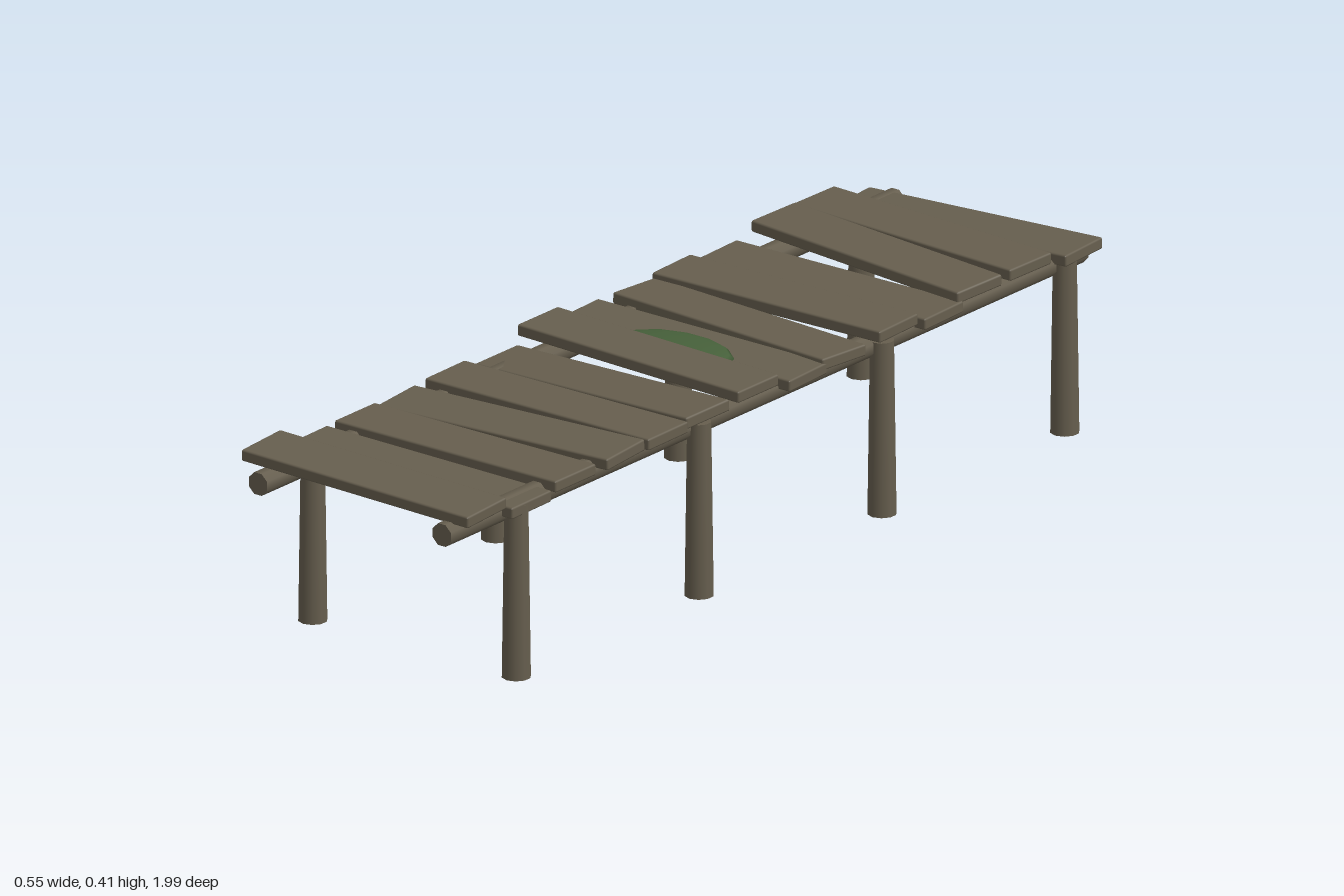
import * as THREE from 'three';
import { RoundedBoxGeometry } from 'three/addons/geometries/RoundedBoxGeometry.js';

export function createModel() {
  const model = new THREE.Group();
  model.name = 'woodenWalkway';

  const wood = new THREE.MeshStandardMaterial({ color: 0x665e4e });
  wood.name = 'weatheredWood';
  const moss = new THREE.MeshStandardMaterial({ color: 0x46603a });
  moss.name = 'moss';

  const add = (name, geometry, material, x, y, z) => {
    const mesh = new THREE.Mesh(geometry, material);
    mesh.name = name;
    mesh.position.set(x, y, z);
    model.add(mesh);
    return mesh;
  };

  // Tapered posts in four pairs
  const postGeometry = new THREE.CylinderGeometry(0.024, 0.029, 0.355, 10);
  for (const z of [0.79, 0.225, -0.34, -0.905]) {
    for (const side of [-1, 1]) add('post', postGeometry, wood, side * 0.248, 0.1775, z);
  }

  // Two long round beams under the deck
  const beamGeometry = new THREE.CylinderGeometry(0.024, 0.024, 1.97, 8);
  beamGeometry.rotateY(Math.PI / 8).rotateX(Math.PI / 2);
  for (const side of [-1, 1]) add('beam', beamGeometry, wood, side * 0.224, 0.342, 0.005);

  // Uneven deck planks, back to front: [height, yaw, roll, pitch]
  const planks = [
    [0.356, 0.07, 0.02, 0],
    [0.384, -0.02, -0.015, 0],
    [0.386, -0.08, -0.02, 0.03],
    [0.362, 0.035, -0.01, 0],
    [0.376, 0.04, -0.005, 0],
    [0.366, -0.06, -0.005, -0.03],
    [0.364, 0.05, -0.025, 0],
    [0.386, 0, -0.025, 0],
    [0.362, -0.05, 0.04, 0.03],
    [0.366, 0.015, -0.005, 0],
    [0.362, 0.055, 0.01, 0.03],
    [0.363, 0, 0, 0],
    [0.354, 0.02, -0.02, 0],
    [0.382, 0.03, -0.035, 0.03],
  ];
  const plankGeometry = new RoundedBoxGeometry(0.54, 0.024, 0.125, 1, 0.004);
  planks.forEach(([y, yaw, roll, pitch], i) => {
    const plank = add('plank', plankGeometry, wood, 0, y, -0.92 + i * 0.1412);
    plank.rotation.set(pitch, yaw, roll, 'YXZ');
  });

  // Low moss patch between the middle planks
  const mossGeometry = new THREE.SphereGeometry(1, 14, 8);
  mossGeometry.scale(0.135, 0.018, 0.09);
  add('mossPatch', mossGeometry, moss, 0, 0.373, -0.005);

  return model;
}
